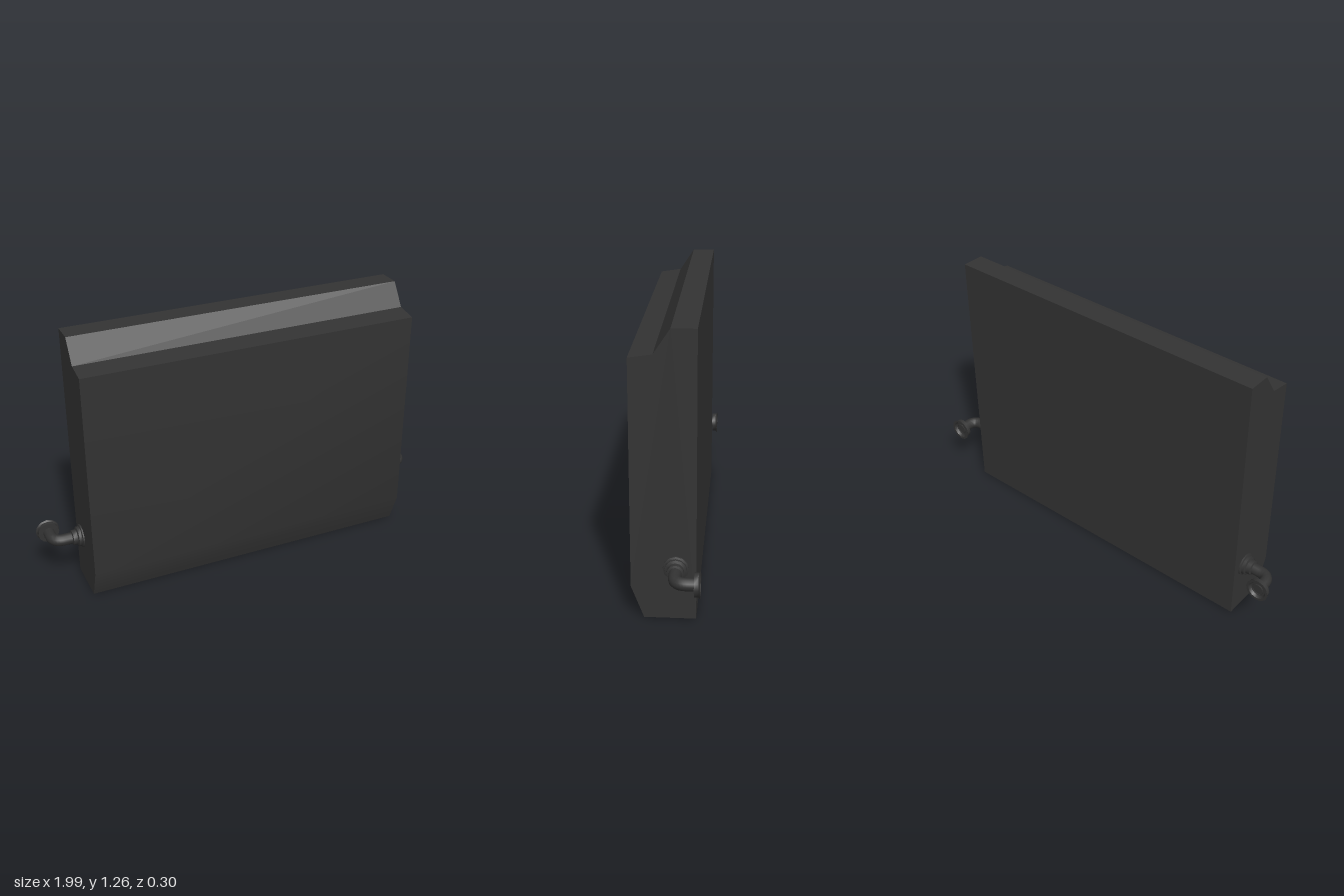
import * as THREE from 'three';
import { toCreasedNormals } from 'three/addons/utils/BufferGeometryUtils.js';

const material = new THREE.MeshStandardMaterial({ color: 0x333333, side: THREE.DoubleSide });

function addMesh(parent, name, geometry) {
  const mesh = new THREE.Mesh(toCreasedNormals(geometry, 0.6), material);
  mesh.name = name;
  parent.add(mesh);
  return mesh;
}

// Turned ring from [radius, height] pairs
function turned(points) {
  return new THREE.LatheGeometry(points.map(([r, h]) => new THREE.Vector2(r, h)), 12);
}

// Elbow pipe from the cabinet side, turning back towards the wall
function createFitting(side, y) {
  const fitting = new THREE.Group();
  fitting.name = side > 0 ? 'leftPipeFitting' : 'rightPipeFitting';
  const z = -0.04;
  const at = (x, pz) => new THREE.Vector3(side * x, y, pz);

  const path = new THREE.CurvePath();
  path.add(new THREE.LineCurve3(at(0.79, z), at(0.885, z)));
  path.add(new THREE.QuadraticBezierCurve3(at(0.885, z), at(0.938, z), at(0.938, z - 0.053)));
  path.add(new THREE.LineCurve3(at(0.938, z - 0.053), at(0.938, -0.142)));
  addMesh(fitting, 'elbowPipe', new THREE.TubeGeometry(path, 24, 0.027, 12, false));

  // Stepped collar against the cabinet
  const collar = addMesh(fitting, 'cabinetCollar', turned([
    [0, 0], [0.055, 0], [0.055, 0.01], [0.047, 0.013], [0.047, 0.026],
    [0.036, 0.03], [0.036, 0.05], [0.026, 0.053],
  ]));
  collar.position.set(side * 0.8, y, z);
  collar.rotation.z = -side * Math.PI / 2;

  // Flared wall flange with a recessed open end
  const flange = addMesh(fitting, 'wallFlange', turned([
    [0.026, 0], [0.05, 0.001], [0.05, 0.019], [0.056, 0.026],
    [0.044, 0.026], [0.036, 0.014], [0, 0.014],
  ]));
  flange.position.set(side * 0.938, y, -0.123);
  flange.rotation.x = -Math.PI / 2;
  return fitting;
}

export function createModel() {
  const model = new THREE.Group();
  model.name = 'radiator';

  // Cabinet: side profile as (z, y), extruded along the width
  const profile = [
    [0.095, 0], [0.15, 0.145], [0.15, 1.14], [0.05, 1.155],
    [-0.02, 1.26], [-0.125, 1.26], [-0.125, 0],
  ];
  const shape = new THREE.Shape(profile.map(([z, y]) => new THREE.Vector2(-z, y)));
  const body = new THREE.ExtrudeGeometry(shape, { depth: 1.608, bevelEnabled: false });
  body.translate(0, 0, -0.804);
  body.rotateY(Math.PI / 2);
  addMesh(model, 'cabinet', body);

  model.add(createFitting(1, 0.235), createFitting(-1, 0.246));
  return model;
}
